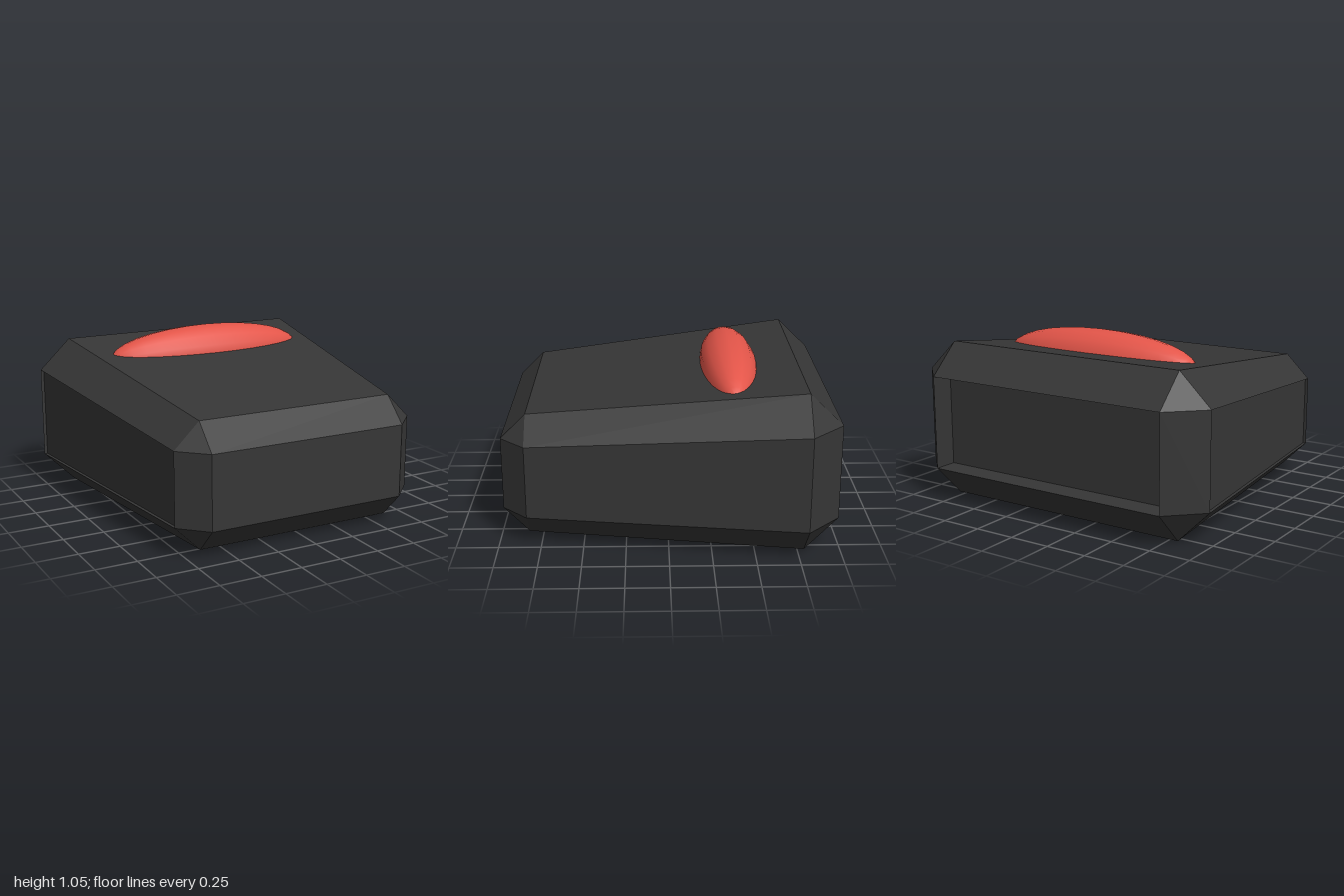
import * as THREE from 'three';

const V = (x, y, z) => new THREE.Vector3(x, y, z);

// Corner of the tapered, chamfered block. Each corner has three points, one on each adjoining face (axis 0, 1, 2).
function corner(s, axis) {
  const [sx, sy, sz] = s;
  const front = sz > 0;
  const xOut = front ? (sx > 0 ? 0.74 : -0.81) : sx;
  const xIn = front ? (sx > 0 ? 0.59 : -0.655) : sx * 0.8;
  const yOut = front ? (sy > 0 ? 0.775 : 0.03) : (sy > 0 ? 0.96 : 0);
  const yIn = front ? (sy > 0 ? 0.625 : 0.185) : (sy > 0 ? 0.77 : 0.2);
  const zOut = front ? 0.98 : -0.985;
  const zIn = front ? 0.83 : -0.79;
  return V(axis === 0 ? xOut : xIn, axis === 1 ? yOut : yIn, axis === 2 ? zOut : zIn);
}

// Collects flat polygons, turning each one away from (or toward) a reference point
function polygonCollector() {
  const positions = [];
  const add = (pts, ref, toward = false) => {
    const n = pts[1].clone().sub(pts[0]).cross(pts[2].clone().sub(pts[0]));
    const mid = pts.reduce((a, p) => a.add(p), V(0, 0, 0)).divideScalar(pts.length);
    const outward = n.dot(mid.sub(ref)) > 0;
    const p = outward === toward ? [...pts].reverse() : pts;
    for (let i = 1; i < p.length - 1; i++) {
      for (const q of [p[0], p[i], p[i + 1]]) positions.push(q.x, q.y, q.z);
    }
  };
  const build = () => {
    const g = new THREE.BufferGeometry();
    g.setAttribute('position', new THREE.Float32BufferAttribute(positions, 3));
    g.computeVertexNormals();
    return g;
  };
  return { add, build };
}

function bodyGeometry() {
  const { add, build } = polygonCollector();
  const centre = V(0, 0.45, 0);
  const signs = [-1, 1];

  // Sunken panel with its four walls
  const recess = (rim, offset) => {
    const inner = rim.map((p) => p.clone().add(offset));
    const mid = [...rim, ...inner].reduce((a, p) => a.add(p), V(0, 0, 0)).divideScalar(8);
    add(inner, mid, true);
    rim.forEach((p, i) => {
      const j = (i + 1) % 4;
      add([p, rim[j], inner[j], inner[i]], mid, true);
    });
  };

  for (let a = 0; a < 3; a++) {
    const b = (a + 1) % 3, c = (a + 2) % 3;
    const sign = (i, j, k) => {
      const s = [0, 0, 0];
      s[a] = i; s[b] = j; s[c] = k;
      return s;
    };
    // Main faces: the back is deeply recessed, one side very slightly
    for (const i of signs) {
      const rim = [[-1, -1], [1, -1], [1, 1], [-1, 1]].map(([j, k]) => corner(sign(i, j, k), a));
      if (a === 2 && i < 0) recess(rim, V(0, 0, 0.145));
      else if (a === 0 && i < 0) recess(rim, V(0.02, 0, 0));
      else add(rim, centre);
    }
    // Chamfers running along this axis
    for (const j of signs) for (const k of signs) {
      const s0 = sign(-1, j, k), s1 = sign(1, j, k);
      add([corner(s0, b), corner(s1, b), corner(s1, c), corner(s0, c)], centre);
    }
  }
  // Corner triangles
  for (const x of signs) for (const y of signs) for (const z of signs) {
    add([0, 1, 2].map((axis) => corner([x, y, z], axis)), centre);
  }
  return build();
}

export function createModel() {
  const model = new THREE.Group();
  model.name = 'wedgeBlock';

  const body = new THREE.Mesh(
    bodyGeometry(),
    new THREE.MeshStandardMaterial({ color: 0x363636, flatShading: true })
  );
  body.name = 'body';
  model.add(body);

  // Long red ellipsoid set into the sloping top
  const barGeometry = new THREE.SphereGeometry(1, 16, 16);
  barGeometry.rotateZ(Math.PI / 2);
  barGeometry.scale(0.67, 0.178, 0.178);
  const bar = new THREE.Mesh(barGeometry, new THREE.MeshStandardMaterial({ color: 0xe35549 }));
  bar.name = 'redLight';
  bar.position.set(0, 0.875, -0.385);
  model.add(bar);

  return model;
}
